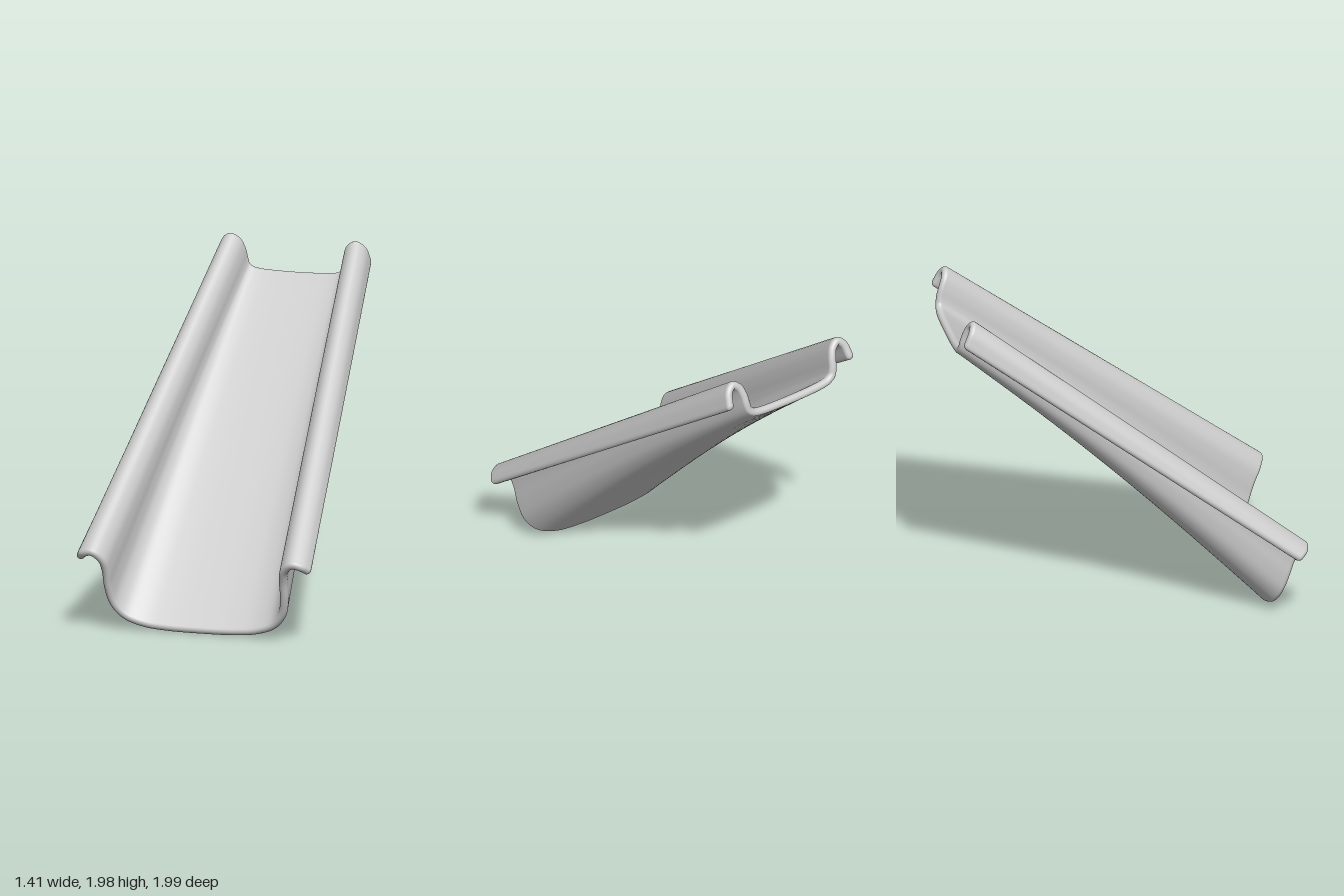
import * as THREE from 'three';

// Half of the sheet's centre line at each end: floor middle, wall, rolled rim, lip
const FRONT = [
  [0, 0.022, 0.815], [0.2, 0.026, 0.817], [0.34, 0.042, 0.823], [0.45, 0.085, 0.84],
  [0.512, 0.16, 0.866], [0.533, 0.26, 0.9], [0.537, 0.36, 0.932], [0.553, 0.43, 0.965],
  [0.605, 0.475, 0.99], [0.66, 0.462, 0.975], [0.685, 0.44, 0.945],
];
const BACK = [
  [0, 1.77, -0.992], [0.15, 1.773, -0.992], [0.22, 1.778, -0.991], [0.265, 1.788, -0.99],
  [0.295, 1.812, -0.988], [0.308, 1.85, -0.983], [0.317, 1.91, -0.965], [0.337, 1.96, -0.945],
  [0.375, 1.984, -0.935], [0.412, 1.955, -0.95], [0.429, 1.885, -0.982],
];
const HALF = 0.024; // half the sheet thickness
const ACROSS = 100;
const ALONG = 28;
const ROUND = 6;

function fullCurve(half) {
  const right = half.map(([x, y, z]) => new THREE.Vector3(x, y, z));
  const left = half.slice(1).reverse().map(([x, y, z]) => new THREE.Vector3(-x, y, z));
  return new THREE.CatmullRomCurve3([...left, ...right]);
}

// Stations from front to back; the sheet thins to a rounded edge at both ends
function stations() {
  const list = [];
  for (let i = 0; i <= ROUND; i++) {
    const a = (i / ROUND) * Math.PI / 2;
    list.push({ t: 0, inset: HALF * (1 - Math.cos(a)), half: HALF * Math.sin(a) });
  }
  for (let i = 1; i < ALONG; i++) list.push({ t: i / ALONG, inset: 0, half: HALF });
  for (let i = ROUND; i >= 0; i--) {
    const a = (i / ROUND) * Math.PI / 2;
    list.push({ t: 1, inset: -HALF * (1 - Math.cos(a)), half: HALF * Math.sin(a) });
  }
  return list;
}

function chuteGeometry() {
  const front = fullCurve(FRONT).getPoints(ACROSS);
  const back = fullCurve(BACK).getPoints(ACROSS);
  const positions = [];
  const rows = stations();

  for (const { t, inset, half } of rows) {
    // Centre line here, the floor bowed slightly upward midway
    const line = front.map((f, j) => {
      const s = Math.abs(j / ACROSS * 2 - 1);
      const bow = 0.05 * Math.sin(Math.PI * t) * (1 - THREE.MathUtils.smoothstep(s, 0.35, 0.75));
      const p = f.clone().lerp(back[j], t);
      p.y += bow;
      return p.addScaledVector(back[j].clone().sub(f).normalize(), inset);
    });
    const tangents = line.map((p, j) =>
      line[Math.min(j + 1, ACROSS)].clone().sub(line[Math.max(j - 1, 0)]).normalize());
    const normals = tangents.map((v, j) => v.clone().cross(back[j].clone().sub(front[j])).normalize());
    const add = (j, n, s) => {
      const p = line[j].clone().addScaledVector(normals[j], n * half).addScaledVector(tangents[j], s * half);
      positions.push(p.x, p.y, p.z);
    };
    // Upper face, rounded lip, lower face, rounded lip
    for (let j = 0; j <= ACROSS; j++) add(j, 1, 0);
    for (let k = 1; k < ROUND; k++) add(ACROSS, Math.cos(k * Math.PI / ROUND), Math.sin(k * Math.PI / ROUND));
    for (let j = ACROSS; j >= 0; j--) add(j, -1, 0);
    for (let k = 1; k < ROUND; k++) add(0, -Math.cos(k * Math.PI / ROUND), -Math.sin(k * Math.PI / ROUND));
  }

  const ring = positions.length / 3 / rows.length;
  const index = [];
  for (let i = 0; i < rows.length - 1; i++) {
    for (let j = 0; j < ring; j++) {
      const k = (j + 1) % ring;
      const a = i * ring + j, b = i * ring + k;
      index.push(a, b, a + ring, b, b + ring, a + ring);
    }
  }
  const geometry = new THREE.BufferGeometry();
  geometry.setAttribute('position', new THREE.Float32BufferAttribute(positions, 3));
  geometry.setIndex(index);
  geometry.computeVertexNormals();
  geometry.computeBoundingBox();
  geometry.translate(0, -geometry.boundingBox.min.y, 0);
  return geometry;
}

export function createModel() {
  const group = new THREE.Group();
  group.name = 'slide';
  const chute = new THREE.Mesh(chuteGeometry(), new THREE.MeshStandardMaterial({ color: 0xcccccc }));
  chute.name = 'slideChute';
  group.add(chute);
  return group;
}
